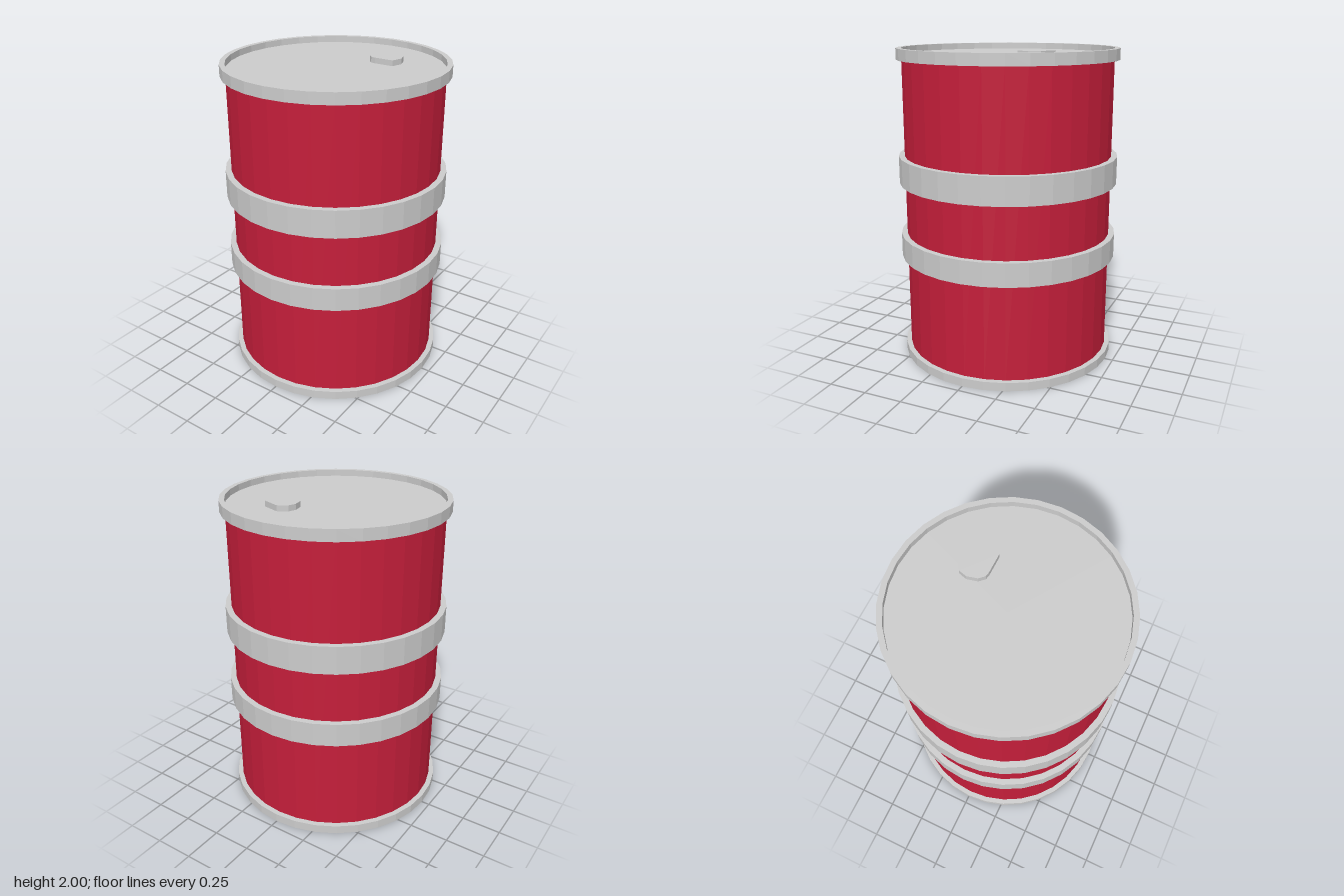
import * as THREE from 'three';

const SIDES = 32;
const BODY_R = 0.665;

export function createModel() {
  const drum = new THREE.Group();
  drum.name = 'drum';

  const grey = new THREE.MeshStandardMaterial({ color: 0xcccccc, flatShading: true });
  const red = new THREE.MeshStandardMaterial({ color: 0xc41e3a, flatShading: true });

  function add(name, geometry, material) {
    const mesh = new THREE.Mesh(geometry, material);
    mesh.name = name;
    drum.add(mesh);
    return mesh;
  }

  // Closed ring with a rectangular section
  function ring(name, inner, outer, y0, y1) {
    const section = [[inner, y0], [outer, y0], [outer, y1], [inner, y1], [inner, y0]];
    const points = section.map(([r, y]) => new THREE.Vector2(r, y));
    add(name, new THREE.LatheGeometry(points, SIDES), grey);
  }

  // Painted wall, open at both ends where the lids close it
  const wall = add('body', new THREE.CylinderGeometry(BODY_R, BODY_R, 1.92, SIDES, 1, true), red);
  wall.position.y = 1.0;

  // Recessed lid and base
  const lid = add('lid', new THREE.CircleGeometry(BODY_R, SIDES), grey);
  lid.rotation.x = -Math.PI / 2;
  lid.position.y = 1.96;
  const base = add('base', new THREE.CircleGeometry(BODY_R, SIDES), grey);
  base.rotation.x = Math.PI / 2;
  base.position.y = 0.04;

  // End rims and the two rolling hoops
  ring('bottomRim', BODY_R, 0.698, 0, 0.055);
  ring('lowerHoop', BODY_R - 0.01, 0.703, 0.67, 0.82);
  ring('upperHoop', BODY_R - 0.01, 0.703, 1.155, 1.33);
  ring('topRim', BODY_R, 0.698, 1.93, 2);

  // Irregular filler cap on the lid
  const outline = [
    [0.285, 0.185], [0.305, 0.26], [0.28, 0.33], [0.16, 0.375], [0.1, 0.34],
    [0.085, 0.29], [0.1, 0.225], [0.13, 0.193], [0.16, 0.187],
  ].map(([x, y]) => new THREE.Vector2(x, y));
  const cap = add('fillerCap', new THREE.ExtrudeGeometry(new THREE.Shape(outline), {
    depth: 0.035, bevelEnabled: false,
  }), grey);
  cap.rotation.x = -Math.PI / 2;
  cap.position.y = 1.96;

  return drum;
}
